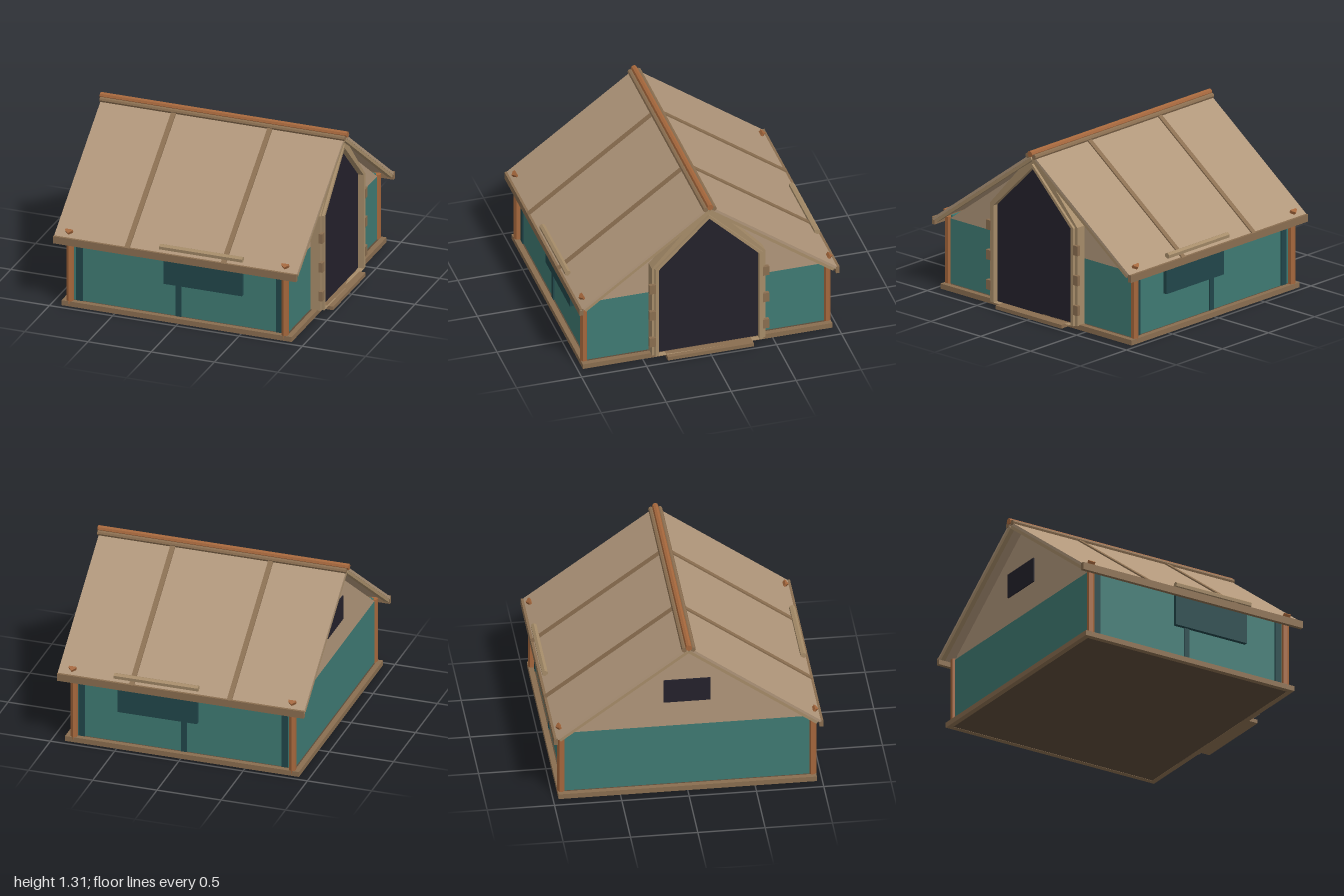
import * as THREE from 'three';

const mat = (color) => new THREE.MeshStandardMaterial({ color, flatShading: true });
const CANVAS = mat(0xb0967a), TRIM = mat(0x8a6e50), FRAME = mat(0xa68c69), POLE = mat(0xa5673c);
const TEAL = mat(0x3f7a73), DARK_TEAL = mat(0x21464a), DOOR = mat(0x24212b), FLOOR = mat(0x5b4a38);

const CX = -0.012;     // tent body centre along x
const HALF = 0.85;     // body half length
const PITCH = Math.atan(0.734);
const RIDGE_Y = 1.285;

function add(parent, name, geometry, material, x = 0, y = 0, z = 0) {
  const mesh = new THREE.Mesh(geometry, material);
  mesh.name = name;
  mesh.position.set(x, y, z);
  parent.add(mesh);
  return mesh;
}

// Box given by its limits on each axis
function box(parent, name, material, [x0, x1], [y0, y1], [z0, z1]) {
  const geometry = new THREE.BoxGeometry(Math.abs(x1 - x0), y1 - y0, z1 - z0);
  return add(parent, name, geometry, material, (x0 + x1) / 2, (y0 + y1) / 2, (z0 + z1) / 2);
}

// Bar running along x
function barX(parent, name, material, x0, x1, y, z, r, sides) {
  const geometry = new THREE.CylinderGeometry(r, r, Math.abs(x1 - x0), sides).rotateZ(Math.PI / 2);
  return add(parent, name, geometry, material, (x0 + x1) / 2, y, z);
}

const shapeOf = (points) => new THREE.Shape(points.map(([a, b]) => new THREE.Vector2(a, b)));

// Outline in (z, y) extruded along x from x0 to x1
function plate(parent, name, material, shape, x0, x1) {
  const geometry = new THREE.ExtrudeGeometry(shape, { depth: x1 - x0, bevelEnabled: false });
  geometry.rotateY(Math.PI / 2);
  return add(parent, name, geometry, material, x0);
}

// Mirror half an outline (listed from bottom to apex) across z = 0
const symmetric = (half) => [...half, ...half.slice().reverse().filter(([z]) => z > 0).map(([z, y]) => [-z, y])];

// One long side: wall, flap and roof slope. s mirrors x for the side turned round.
function createLongSide(s) {
  const side = new THREE.Group();
  side.name = s > 0 ? 'frontSide' : 'backSide';
  side.rotation.y = s > 0 ? 0 : Math.PI;
  const span = (a, b) => [s * a, s * b];

  box(side, 'longWall', TEAL, span(CX - HALF, CX + HALF), [0.04, 0.57], [0.895, 0.91]);
  for (const x of [-0.795, 0.785]) {
    box(side, 'wallStrip', DARK_TEAL, span(x - 0.025, x + 0.025), [0.04, 0.56], [0.905, 0.92]);
  }
  box(side, 'wallPost', DARK_TEAL, span(-0.033, 0.01), [0.04, 0.4], [0.905, 0.92]);
  box(side, 'windowFlap', DARK_TEAL, span(-0.12, 0.5), [0.295, 0.55], [0.91, 0.94]);
  box(side, 'eaveTrim', TRIM, span(-0.97, 0.95), [0.508, 0.565], [0.972, 1]);

  // Sloped frame: local z runs down the roof, local y points out of it
  const slope = new THREE.Group();
  slope.name = 'roofSlope';
  slope.position.y = RIDGE_Y;
  slope.rotation.x = PITCH;
  side.add(slope);
  box(slope, 'roofPanel', CANVAS, span(-0.97, 0.95), [-0.02, 0], [0, 1.235]);
  for (const x of [-0.95, 0.93]) {
    box(slope, 'endRafter', FRAME, span(x - 0.018, x + 0.018), [-0.044, -0.018], [0.03, 1.21]);
  }
  for (const x of [-0.39, 0.372]) {
    box(slope, 'roofStrap', TRIM, span(x - 0.019, x + 0.019), [-0.005, 0.01], [0.05, 1.232]);
  }
  barX(slope, 'awningRoll', FRAME, s * -0.14, s * 0.515, 0.016, 1.178, 0.024, 6);

  // Pentagonal pegs pointing down the slope
  const peg = shapeOf([[-0.028, 0.014], [-0.028, 0], [0, -0.022], [0.028, 0], [0.028, 0.014]]);
  for (const x of [-0.865, 0.845]) {
    const geometry = new THREE.ExtrudeGeometry(peg, { depth: 0.03, bevelEnabled: false });
    add(slope, 'roofPeg', geometry.rotateX(-Math.PI / 2), POLE, s * x, -0.005, 1.172);
  }
  return side;
}

// Gable wall: teal lower cloth with canvas triangle above
function createGable(x) {
  const gable = new THREE.Group();
  gable.name = 'gable';
  box(gable, 'gableWall', TEAL, [x - 0.008, x + 0.008], [0.04, 0.545], [-0.92, 0.92]);
  const triangle = shapeOf([[-0.91, 0.545], [0.91, 0.545], [0, 1.215]]);
  plate(gable, 'gableCanvas', CANVAS, triangle, x - 0.008, x + 0.008);
  return gable;
}

// Pointed door with its projecting frame, hinge blocks and threshold
function createEntrance() {
  const entrance = new THREE.Group();
  entrance.name = 'entrance';
  const inner = symmetric([[0.387, 0.035], [0.387, 0.79], [0, 1.172]]);
  const outer = symmetric([[0.437, 0.035], [0.437, 0.8], [0.15, 1.12], [0, 1.225]]);
  plate(entrance, 'door', DOOR, shapeOf(inner), 0.835, 0.9);
  const frame = shapeOf(outer);
  frame.holes.push(new THREE.Path(inner.map(([z, y]) => new THREE.Vector2(z, y))));
  plate(entrance, 'doorFrame', FRAME, frame, 0.84, 0.925);

  // Slim raised edge in front of the frame
  const lip = symmetric([[0.415, 0.035], [0.415, 0.795], [0, 1.2]]);
  const edge = shapeOf(lip);
  edge.holes.push(new THREE.Path(inner.map(([z, y]) => new THREE.Vector2(z, y))));
  plate(entrance, 'doorLip', FRAME, edge, 0.925, 0.945);

  for (const side of [-1, 1]) {
    for (const y of [0.162, 0.395, 0.628]) {
      const z = side * 0.436;
      box(entrance, 'hingeBlock', TRIM, [0.918, 0.947], [y - 0.038, y + 0.038], [z - 0.024, z + 0.024]);
    }
  }
  box(entrance, 'threshold', TRIM, [0.89, 0.982], [0.006, 0.035], [-0.33, 0.33]);
  return entrance;
}

export function createModel() {
  const tent = new THREE.Group();
  tent.name = 'tent';

  // Floor with a timber rim
  box(tent, 'floor', FLOOR, [-0.9, 0.88], [0.002, 0.035], [-0.94, 0.94]);
  for (const z of [-0.94, 0.94]) {
    box(tent, 'longSill', TRIM, [-0.92, 0.9], [0, 0.04], [z - 0.02, z + 0.02]);
  }
  for (const x of [-0.9, 0.88]) {
    box(tent, 'endSill', TRIM, [x - 0.02, x + 0.02], [0, 0.04], [-0.92, 0.92]);
  }

  // Corner poles
  for (const x of [CX - HALF, CX + HALF]) {
    for (const z of [-0.934, 0.934]) {
      add(tent, 'cornerPole', new THREE.CylinderGeometry(0.028, 0.028, 0.535, 6), POLE, x, 0.2875, z);
    }
  }

  tent.add(createLongSide(1), createLongSide(-1));
  tent.add(createGable(CX - HALF), createGable(CX + HALF));
  box(tent, 'gableWindow', DOOR, [CX - HALF - 0.018, CX - HALF], [0.755, 0.945], [-0.175, 0.175]);
  tent.add(createEntrance());

  // Ridge pole flanked by two lower rails
  barX(tent, 'ridgePole', POLE, -0.985, 0.968, 1.285, 0, 0.024, 8);
  for (const z of [-0.033, 0.033]) {
    barX(tent, 'ridgeRail', TRIM, -0.975, 0.96, 1.265, z, 0.02, 8);
  }
  return tent;
}
